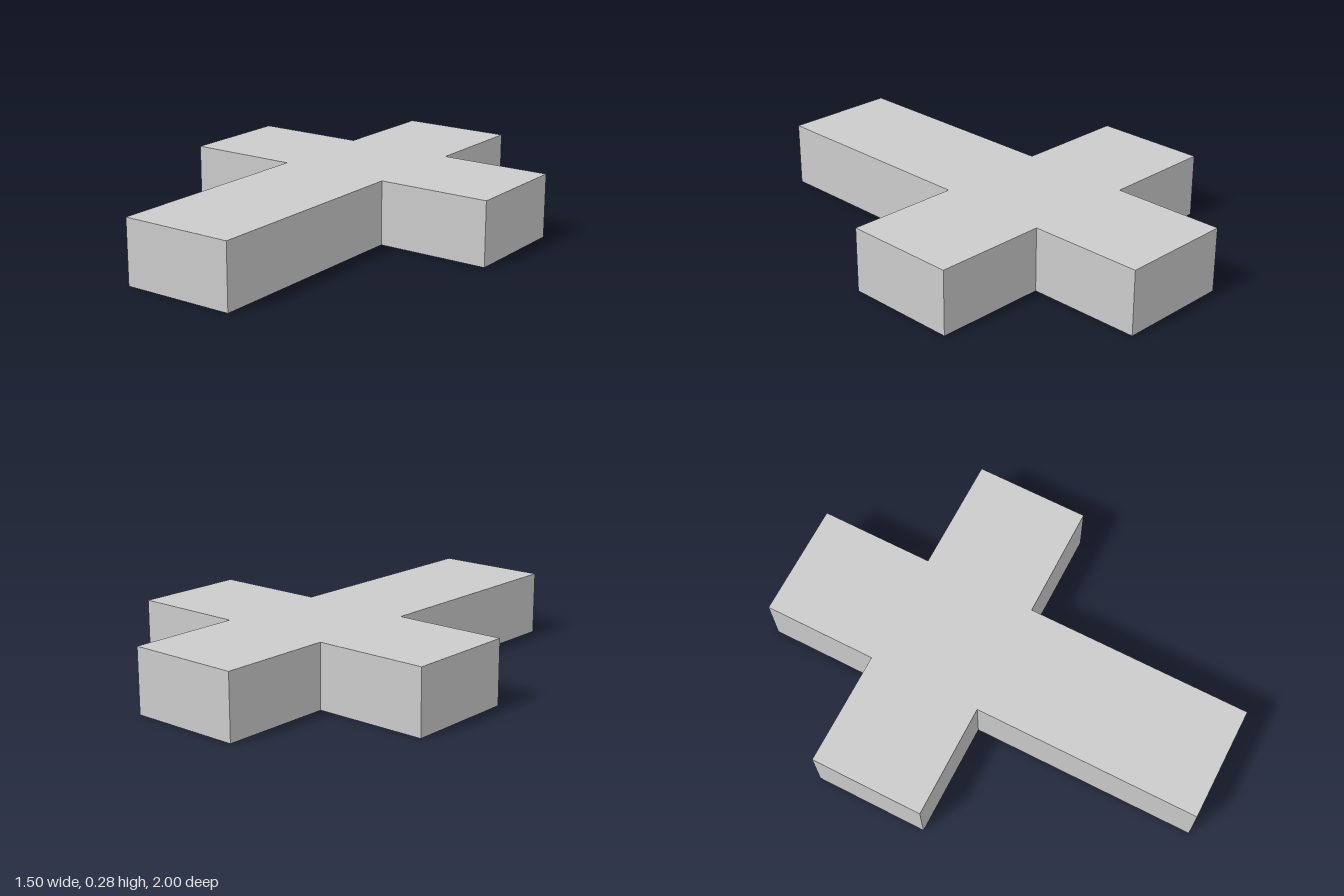
import * as THREE from 'three';

const HEIGHT = 0.28;

export function createModel() {
  const group = new THREE.Group();
  group.name = 'crossModel';

  // Right half of the cross outline, back to front; shape y is -z
  const half = [[0.25, 1], [0.25, 0.5], [0.75, 0.5], [0.75, 0], [0.25, 0], [0.25, -1]];
  const mirrored = half.map(([x, y]) => [-x, y]).reverse();
  const outline = [...half, ...mirrored].map(([x, y]) => new THREE.Vector2(x, y));

  // Flat slab, laid down with its base on the ground
  const geometry = new THREE.ExtrudeGeometry(new THREE.Shape(outline), {
    depth: HEIGHT,
    bevelEnabled: false,
  });
  geometry.rotateX(-Math.PI / 2);

  const cross = new THREE.Mesh(
    geometry,
    new THREE.MeshStandardMaterial({ color: 0xcccccc, flatShading: true })
  );
  cross.name = 'crossSlab';
  group.add(cross);

  return group;
}
